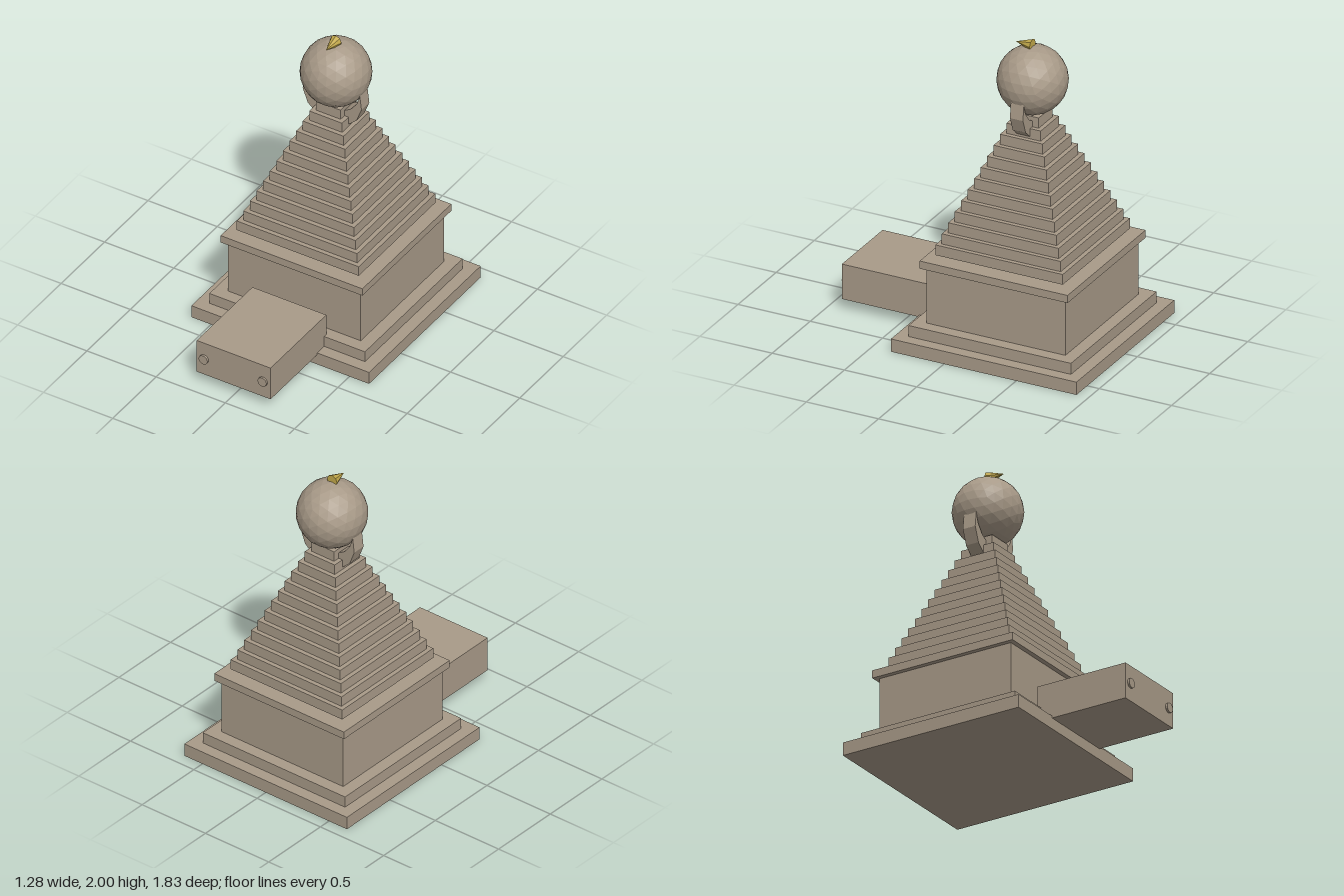
import * as THREE from 'three';

export function createModel() {
  const model = new THREE.Group();
  model.name = 'steppedShrine';
  const stone = new THREE.MeshStandardMaterial({ color: 0xa89a88 });
  stone.name = 'stone';
  const gold = new THREE.MeshStandardMaterial({ color: 0xc4aa4c });
  gold.name = 'gold';

  const tower = new THREE.Group();
  tower.name = 'tower';
  tower.position.z = -0.275;
  model.add(tower);

  const add = (parent, name, geometry, material, x = 0, y = 0, z = 0) => {
    const flat = geometry.index ? geometry.toNonIndexed() : geometry;
    flat.computeVertexNormals(); // faceted
    const mesh = new THREE.Mesh(flat, material);
    mesh.name = name;
    mesh.position.set(x, y, z);
    parent.add(mesh);
    return mesh;
  };

  // Square slab given by half width and bottom and top heights
  const slab = (name, half, y0, y1) =>
    add(tower, name, new THREE.BoxGeometry(half * 2, y1 - y0, half * 2), stone, 0, (y0 + y1) / 2);

  // Plinth, hall and cornice
  slab('lowerPlinth', 0.642, 0, 0.087);
  slab('upperPlinth', 0.562, 0.087, 0.162);
  slab('hall', 0.48, 0.162, 0.54);
  slab('cornice', 0.512, 0.54, 0.592);

  // Stepped spire, floating a little above the cornice
  const tiers = 13, step = 0.0695;
  for (let i = 0; i < tiers; i++) {
    const y = 0.618 + i * step;
    slab('spireTier' + (i + 1), 0.441 - i * 0.0293, y, y + step);
  }

  // Crescent cradling the ball: outer arc below, inner arc above
  const arc = (cy, r, a0, a1, n) => Array.from({ length: n + 1 }, (_, i) => {
    const a = a0 + (a1 - a0) * i / n;
    return new THREE.Vector2(r * Math.cos(a), cy + r * Math.sin(a));
  });
  const outer = arc(1.57, 0.214, Math.PI - 0.36, 2 * Math.PI + 0.36, 8);
  const inner = arc(1.67, 0.202, 2 * Math.PI - 0.125, Math.PI + 0.125, 8).slice(1, -1);
  add(tower, 'crescent', new THREE.ExtrudeGeometry(new THREE.Shape([...outer, ...inner]),
    { depth: 0.09, bevelEnabled: false }), stone, 0, 0, -0.045);

  // Ball and the small golden cone on it, pointing forwards
  add(tower, 'ball', new THREE.IcosahedronGeometry(0.223, 3), stone, 0, 1.728);
  const cone = new THREE.ConeGeometry(0.04, 0.115, 8);
  cone.rotateX(Math.PI / 2);
  add(tower, 'finialCone', cone, gold, 0, 1.96, 0.058);

  // Porch block with round pins running through it
  const porch = new THREE.Group();
  porch.name = 'porch';
  porch.position.set(0, 0.192, 0.583);
  model.add(porch);
  add(porch, 'porchBlock', new THREE.BoxGeometry(0.534, 0.238, 0.642), stone);
  for (const side of [-1, 1]) {
    const pin = new THREE.CylinderGeometry(0.032, 0.032, 0.668, 16);
    pin.rotateX(Math.PI / 2);
    add(porch, side > 0 ? 'leftPin' : 'rightPin', pin, stone, side * 0.213, -0.002);
  }
  return model;
}
